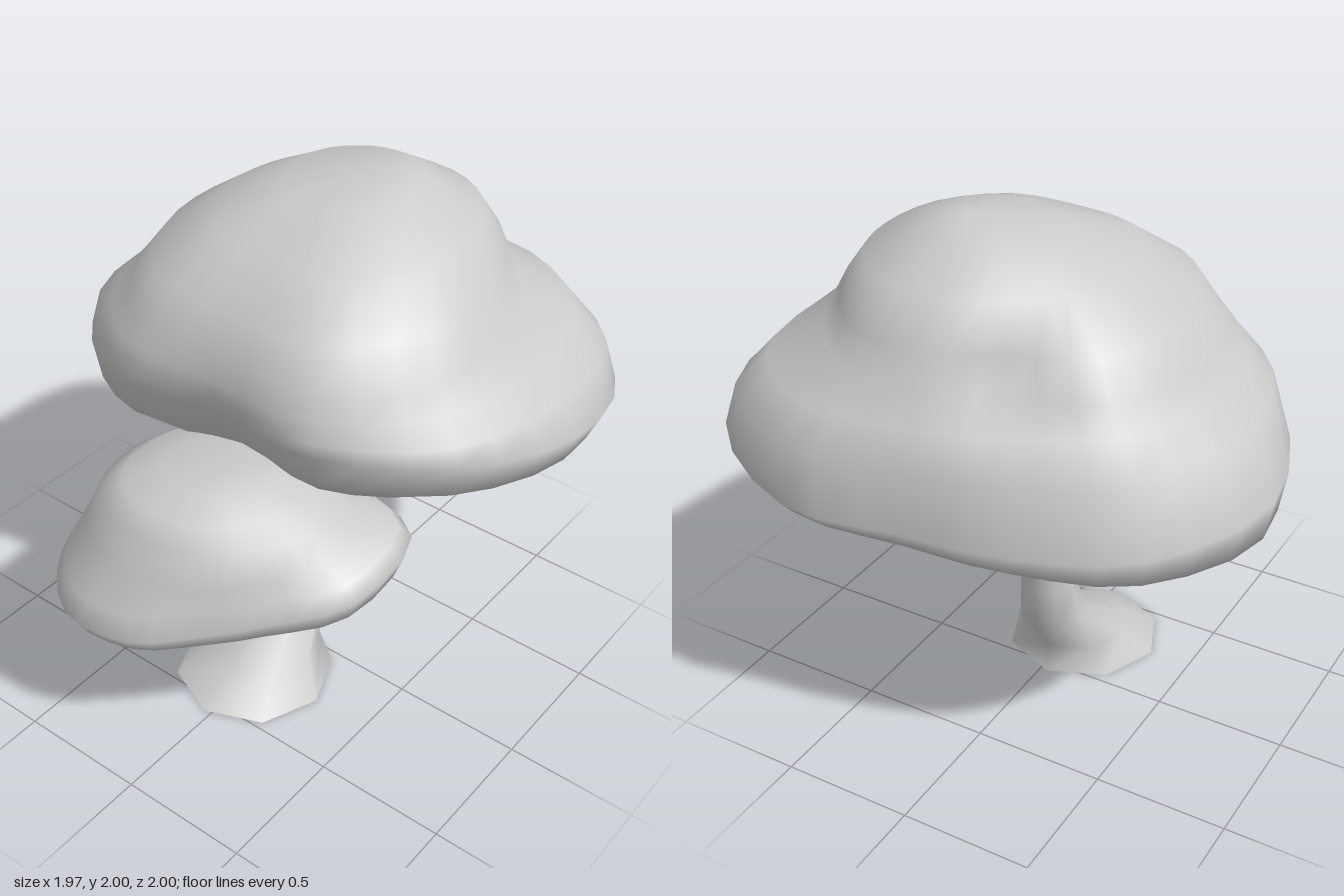
import * as THREE from 'three';

const V = (x, y, z) => new THREE.Vector3(x, y, z);
const solid = new THREE.MeshStandardMaterial({ color: 0xcccccc });
const open = new THREE.MeshStandardMaterial({ color: 0xcccccc, side: THREE.DoubleSide });

// Skins a stack of closed rings (bottom to top), closes the top and, if given, the bottom to a point
function skin(rings, top, bottom) {
  const n = rings[0].length;
  const points = [...rings.flat(), top];
  const high = points.length - 1, index = [];
  if (bottom) points.push(bottom);
  for (let j = 0; j < n; j++) {
    const k = (j + 1) % n, last = (rings.length - 1) * n;
    index.push(high, last + k, last + j);
    if (bottom) index.push(high + 1, j, k);
    for (let i = 0; i < rings.length - 1; i++) {
      const a = i * n + j, b = i * n + k;
      index.push(a, a + n, b, b, a + n, b + n);
    }
  }
  const geometry = new THREE.BufferGeometry().setFromPoints(points);
  geometry.setIndex(index);
  geometry.computeVertexNormals();
  return geometry;
}

// Foliage levels: height, tilt in x and z, upward bow along z, scale and 12 radii around the centre
function canopy(cx, cz, levels, bottom, top) {
  const rings = levels.map(([y, tiltX, tiltZ, bow, scale, radii]) => {
    const control = radii.map((r, i) => {
      const a = (i * Math.PI) / 6;
      const x = r * scale * Math.cos(a), z = r * scale * Math.sin(a);
      return V(cx + x, y + tiltX * x + tiltZ * z + bow * z * z, cz + z);
    });
    const curve = new THREE.CatmullRomCurve3(control, true, 'catmullrom', 0.5);
    return Array.from({ length: 36 }, (_, i) => curve.getPoint(i / 36));
  });
  return skin(rings, top, bottom);
}

// Tapering limb through a few points, each with its own radius
function limb(path, radii, sides = 8) {
  const rings = path.map((p, i) => {
    const t = path[Math.min(i + 1, path.length - 1)].clone().sub(path[Math.max(i - 1, 0)]).normalize();
    const u = V(1, 0, 0).addScaledVector(t, -t.x).normalize();
    const v = u.clone().cross(t);
    return Array.from({ length: sides }, (_, j) => {
      const a = (j / sides) * Math.PI * 2;
      return p.clone().addScaledVector(u, radii[i] * Math.cos(a)).addScaledVector(v, radii[i] * Math.sin(a));
    });
  });
  return skin(rings, path[path.length - 1], path[0]);
}

export function createModel() {
  const group = new THREE.Group();
  const add = (name, geometry, material = solid) => {
    const mesh = new THREE.Mesh(geometry, material);
    mesh.name = name;
    group.add(mesh);
  };

  // Large crown: broad rim, a shelf round the back and right, and a dome set forward on it
  const under = [0.86, 0.86, 0.81, 0.63, 0.81, 0.93, 0.99, 0.87, 0.72, 0.69, 0.84, 0.90];
  add('upperCanopy', canopy(0, -0.25, [
    [0.985, 0.09, 0, 0.12, 0.55, under],
    [1.02, 0.055, 0.03, 0.19, 0.82, under],
    [1.12, 0.07, 0.09, 0.06, 1, [0.94, 0.89, 0.79, 0.61, 0.80, 0.92, 0.96, 0.84, 0.69, 0.66, 0.82, 0.94]],
    [1.25, 0.05, 0.15, 0, 1, [0.98, 0.93, 0.84, 0.70, 0.85, 0.94, 0.99, 0.87, 0.72, 0.69, 0.86, 0.99]],
    [1.4, 0, 0.05, 0, 1, [0.89, 0.90, 0.84, 0.72, 0.85, 0.90, 0.87, 0.79, 0.68, 0.67, 0.84, 0.94]],
    [1.5, 0, 0, 0, 1, [0.80, 0.83, 0.82, 0.72, 0.82, 0.82, 0.75, 0.70, 0.60, 0.62, 0.75, 0.82]],
    [1.59, 0, 0, 0, 1, [0.69, 0.77, 0.79, 0.70, 0.77, 0.74, 0.69, 0.645, 0.47, 0.55, 0.60, 0.62]],
    [1.72, 0, 0, 0, 1, [0.61, 0.68, 0.71, 0.64, 0.69, 0.64, 0.60, 0.57, 0.47, 0.52, 0.56, 0.56]],
    [1.86, 0, 0, 0, 1, [0.49, 0.52, 0.52, 0.47, 0.48, 0.44, 0.40, 0.38, 0.38, 0.42, 0.46, 0.48]],
    [1.965, 0.03, -0.05, 0, 1, [0.27, 0.26, 0.24, 0.21, 0.22, 0.21, 0.20, 0.20, 0.20, 0.22, 0.25, 0.27]],
  ], V(0, 1.02, -0.25), V(0.12, 2.0, -0.32)));

  // Small crown in front, its rim dipping forward
  const smallRim = [0.59, 0.44, 0.42, 0.50, 0.58, 0.59, 0.54, 0.52, 0.47, 0.46, 0.52, 0.67];
  const smallDome = [0.43, 0.37, 0.36, 0.37, 0.41, 0.45, 0.44, 0.44, 0.42, 0.42, 0.44, 0.47];
  add('lowerCanopy', canopy(0.02, 0.48, [
    [0.67, 0.08, -0.05, 0, 0.52, smallRim],
    [0.69, 0.08, -0.12, 0, 0.8, smallRim],
    [0.74, 0.08, -0.16, 0, 0.95, smallRim],
    [0.81, 0.09, -0.19, 0, 1, smallRim],
    [0.88, 0.07, -0.17, 0, 0.93, smallRim],
    [0.95, 0.04, -0.06, 0, 1.06, smallDome],
    [1.05, 0.02, 0, 0, 0.94, smallDome],
    [1.11, 0.02, 0, 0, 0.75, smallDome],
    [1.155, 0.03, 0, 0, 0.43, smallDome],
  ], V(0, 0.68, 0.48), V(0.08, 1.185, 0.5)));

  // Trunk: open flared foot reaching forward, then leaning back; [y, z, radius]
  const trunk = [[0, 0.255, 0.305], [0.11, 0.18, 0.21], [0.27, 0, 0.13],
    [0.45, -0.045, 0.105], [0.64, -0.08, 0.09], [1.1, -0.28, 0.055]];
  const trunkRings = trunk.map(([y, z, r]) => Array.from({ length: 8 }, (_, j) => {
    const a = (j / 8) * Math.PI * 2;
    return V(-0.03 + r * Math.cos(a), y, z + r * Math.sin(a));
  }));
  add('trunk', skin(trunkRings, V(-0.03, 1.1, -0.28)), open);

  // Branches
  add('frontBranch', limb(
    [V(-0.03, 0.40, -0.04), V(-0.03, 0.43, 0.05), V(-0.03, 0.49, 0.11), V(-0.03, 0.54, 0.19), V(-0.03, 0.55, 0.33), V(-0.03, 0.63, 0.41), V(-0.03, 0.75, 0.48)],
    [0.07, 0.067, 0.06, 0.047, 0.037, 0.033, 0.025]));
  add('frontTwig', limb(
    [V(-0.02, 0.55, 0.31), V(0.06, 0.6, 0.32), V(0.09, 0.74, 0.33)], [0.03, 0.027, 0.02]));
  add('backBranch', limb(
    [V(-0.03, 0.63, -0.08), V(-0.02, 0.7, -0.2), V(-0.02, 0.8, -0.36), V(-0.02, 0.92, -0.45), V(-0.02, 1.08, -0.52)],
    [0.06, 0.05, 0.04, 0.033, 0.022]));
  add('sideBranch', limb(
    [V(-0.04, 0.68, -0.1), V(-0.11, 0.83, -0.08), V(-0.13, 0.93, -0.05), V(-0.14, 1.08, -0.02)],
    [0.045, 0.037, 0.032, 0.025]));

  return group;
}
